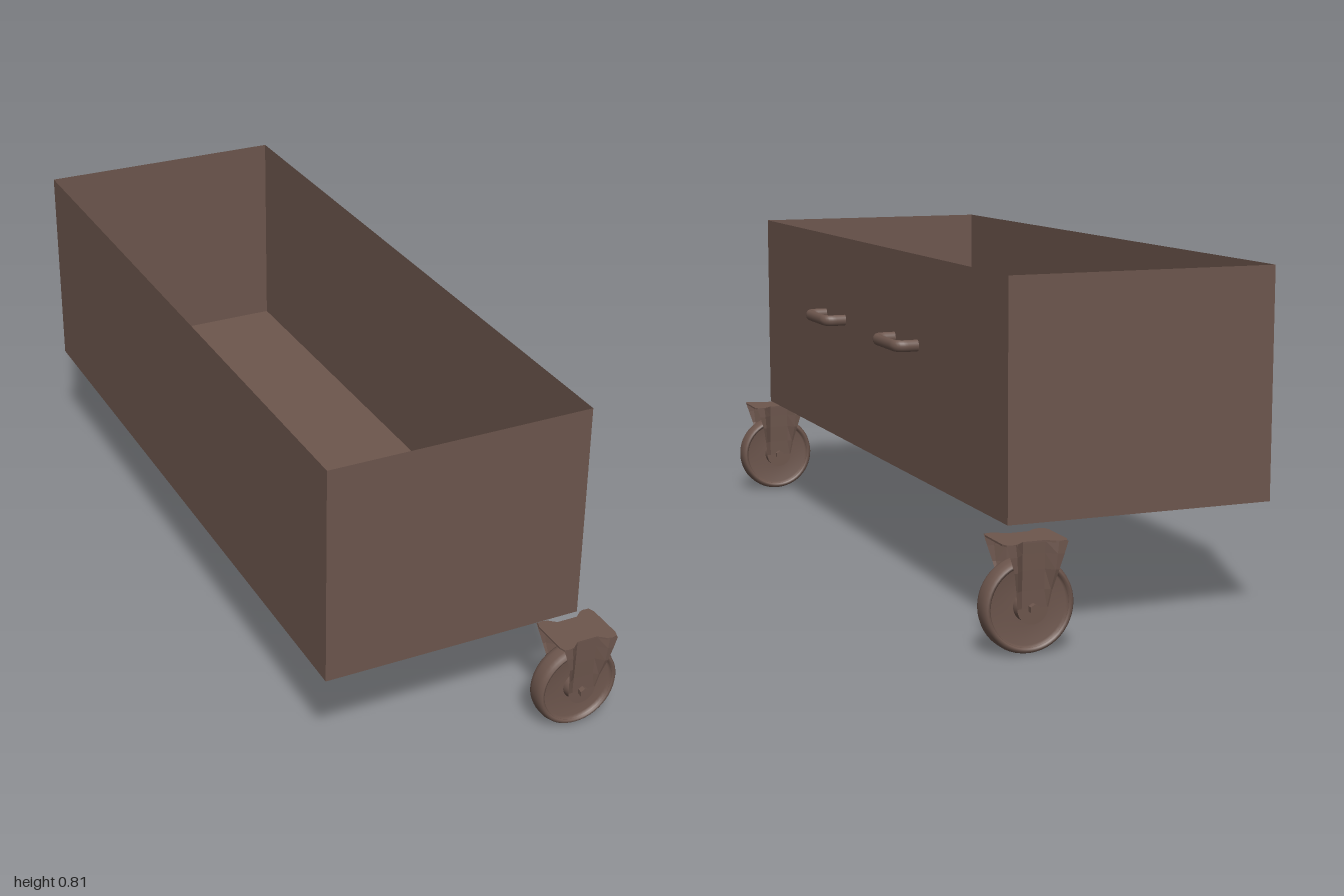
import * as THREE from 'three';

const brown = new THREE.MeshStandardMaterial({ color: 0x6d564d, side: THREE.DoubleSide });
const brownFlat = brown.clone();
brownFlat.flatShading = true;

function part(name, geometry, material = brown) {
  const mesh = new THREE.Mesh(geometry, material);
  mesh.name = name;
  return mesh;
}

// Open-topped, thin-walled box
function makeBox() {
  const geo = new THREE.BoxGeometry(0.65, 0.54, 1.79);
  const index = Array.from(geo.index.array);
  index.splice(12, 6); // drop the top face
  geo.setIndex(index);
  geo.clearGroups();
  const box = part('box', geo);
  box.position.set(-0.043, 0.543, 0);
  return box;
}

// Pull handle: a slightly tall tube with rounded corners, along z
function makeHandle() {
  const path = new THREE.CurvePath();
  const v = (x, z) => new THREE.Vector3(x, 0, z);
  const reach = 0.052, half = 0.08, r = 0.025;
  path.add(new THREE.LineCurve3(v(0, -half), v(reach - r, -half)));
  path.add(new THREE.QuadraticBezierCurve3(v(reach - r, -half), v(reach, -half), v(reach, r - half)));
  path.add(new THREE.LineCurve3(v(reach, r - half), v(reach, half - r)));
  path.add(new THREE.QuadraticBezierCurve3(v(reach, half - r), v(reach, half), v(reach - r, half)));
  path.add(new THREE.LineCurve3(v(reach - r, half), v(0, half)));
  const handle = part('handle', new THREE.TubeGeometry(path, 48, 0.0105, 12));
  handle.scale.y = 1.35;
  return handle;
}

// One fork leg: a folded plate that flares out towards the top
function makeLeg() {
  // each row: height, outer half width, flange half width, panel half width, flange depth, panel depth
  const rows = [
    [0.147, 0.072, 0.05, 0.026, 0.0625, 0.044],
    [0.12, 0.063, 0.047, 0.026, 0.0625, 0.043],
    [0.085, 0.052, 0.044, 0.026, 0.06, 0.042],
    [0.04, 0.042, 0.038, 0.026, 0.047, 0.04],
    [0, 0.036, 0.033, 0.026, 0.039, 0.039],
  ];
  const pos = [], index = [];
  rows.forEach(([y, a, b, c, zf, zp], i) => {
    [[-a, zf], [-b, zf], [-c, zp], [c, zp], [b, zf], [a, zf]].forEach(([x, z], j) => {
      pos.push(x, y, z);
      if (i && j) {
        const k = i * 6 + j;
        index.push(k - 7, k - 1, k, k - 7, k, k - 6);
      }
    });
  });
  const geo = new THREE.BufferGeometry();
  geo.setAttribute('position', new THREE.Float32BufferAttribute(pos, 3));
  geo.setIndex(index);
  geo.computeVertexNormals();
  return part('forkLeg', geo, brownFlat);
}

// Mounting plate with pinched sides
function makePlate() {
  const quarter = [[0.075, 0.046], [0.07, 0.06], [0.056, 0.0625], [0.044, 0.059], [0.026, 0.044]];
  const back = quarter.map(([x, y]) => [-x, y]).reverse();
  const upper = [...quarter, ...back];
  const lower = upper.map(([x, y]) => [-x, -y]);
  const shape = new THREE.Shape([...upper, ...lower].map(([x, y]) => new THREE.Vector2(x, y)));
  const geo = new THREE.ExtrudeGeometry(shape, { depth: 0.004, bevelEnabled: false });
  geo.rotateX(-Math.PI / 2);
  const plate = part('mountingPlate', geo);
  plate.position.y = 0.144;
  return plate;
}

// Lathe around the axle (z)
function turned(name, points, sides) {
  const geo = new THREE.LatheGeometry(points.map(([r, h]) => new THREE.Vector2(r, h)), sides);
  geo.rotateX(Math.PI / 2);
  return part(name, geo);
}

const mirrored = (half) => [...half, ...half.map(([r, h]) => [r, -h]).reverse()];

function makeCaster() {
  const caster = new THREE.Group();
  caster.name = 'caster';

  // Tyre, recessed wheel disc and hub
  caster.add(turned('tyre', mirrored([[0.09, 0.02], [0.094, 0.026], [0.099, 0.027], [0.104, 0.021], [0.107, 0.01]]), 48));
  caster.add(turned('wheelDisc', mirrored([[0.034, 0.014], [0.088, 0.014], [0.091, 0.023], [0.095, 0.023]]), 48));
  caster.add(turned('hub', mirrored([[0, 0.034], [0.026, 0.034], [0.03, 0.03], [0.036, 0.012]]), 32));

  // Fork and axle bolts, one on each side
  for (const turn of [0, Math.PI]) {
    const side = new THREE.Group();
    side.name = 'forkSide';
    side.rotation.y = turn;
    side.add(makeLeg());

    // rounded lower end of the leg
    const end = part('forkEnd', new THREE.CircleGeometry(0.036, 20, Math.PI, Math.PI));
    end.position.z = 0.039;
    side.add(end);

    const bolt = part('axleBolt', new THREE.CylinderGeometry(0.012, 0.012, 0.014, 6).rotateX(Math.PI / 2), brownFlat);
    bolt.position.z = 0.045;
    side.add(bolt);
    caster.add(side);
  }
  caster.add(makePlate());
  return caster;
}

export function createModel() {
  const model = new THREE.Group();
  model.name = 'rollingDrawer';
  model.add(makeBox());

  // Handles and casters, mirrored front to back
  for (const s of [1, -1]) {
    const handle = makeHandle();
    handle.position.set(0.282, 0.596, s * 0.27);
    const caster = makeCaster();
    caster.position.set(0.258, 0.108, s * 0.937);
    model.add(handle, caster);
  }
  return model;
}
